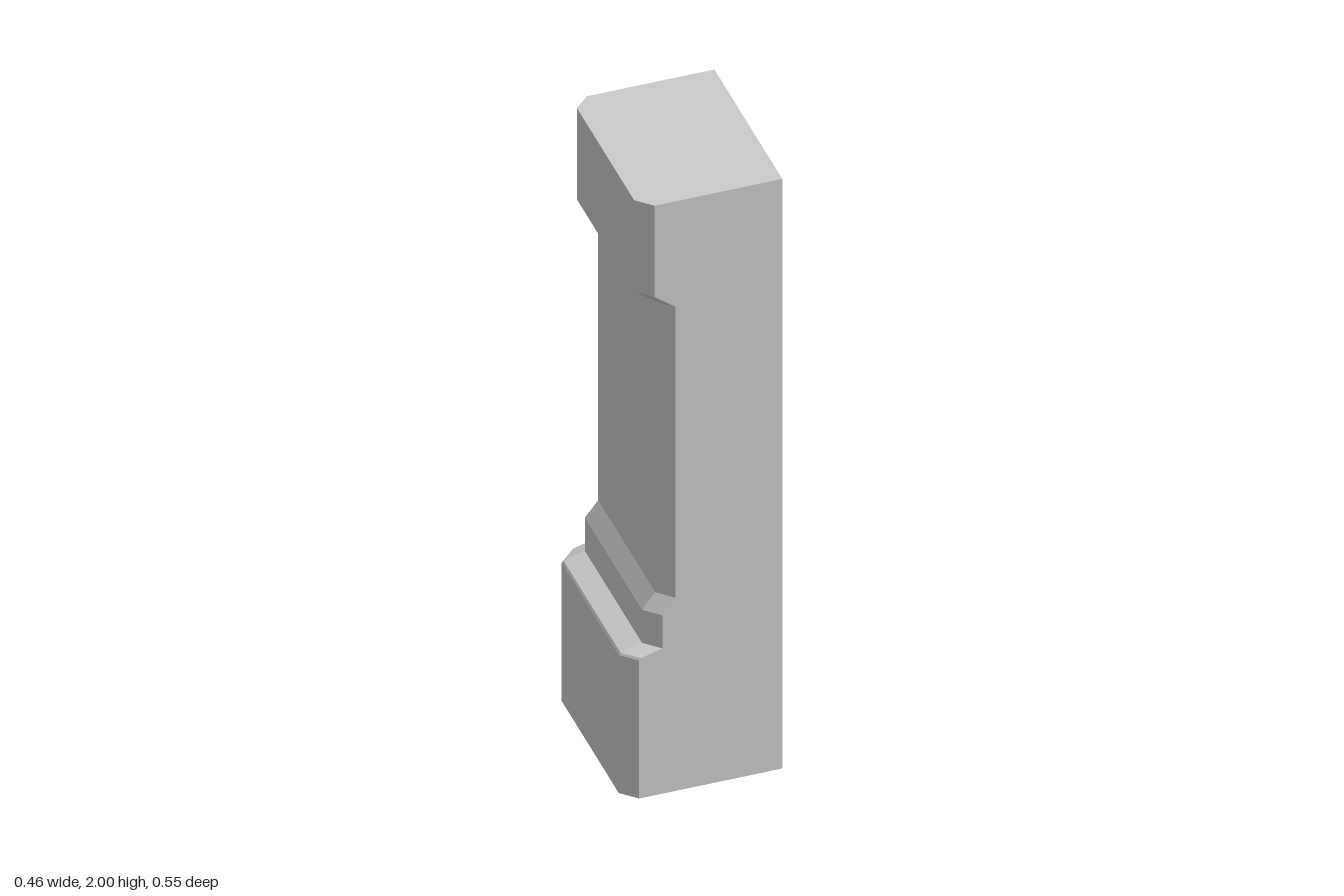
import * as THREE from 'three';

const RIGHT = 0.232, DEPTH = 0.276, CHAMFER = 0.044;

// Carved face from bottom to top: [x of the face, height]
const profile = [
  [-0.232, 0], [-0.232, 0.468], [-0.227, 0.475], [-0.164, 0.493], [-0.164, 0.605],
  [-0.125, 0.655], [-0.125, 1.642], [-0.187, 1.69], [-0.187, 2],
];

// Six-cornered cross-section, counter-clockwise seen from above
function section([x, y]) {
  const side = x + CHAMFER, inner = DEPTH - CHAMFER;
  return [
    [RIGHT, y, DEPTH], [RIGHT, y, -DEPTH], [side, y, -DEPTH],
    [x, y, -inner], [x, y, inner], [side, y, DEPTH],
  ];
}

function loft(rings) {
  const points = [];
  const tri = (a, b, c) => points.push(...a, ...b, ...c);
  const n = rings[0].length;
  // Walls
  for (let r = 0; r < rings.length - 1; r++) {
    const lo = rings[r], hi = rings[r + 1];
    for (let i = 0; i < n; i++) {
      const j = (i + 1) % n;
      tri(lo[i], lo[j], hi[j]);
      tri(lo[i], hi[j], hi[i]);
    }
  }
  // End caps
  const bottom = rings[0], top = rings[rings.length - 1];
  for (let i = 1; i < n - 1; i++) {
    tri(bottom[0], bottom[i + 1], bottom[i]);
    tri(top[0], top[i], top[i + 1]);
  }
  const geometry = new THREE.BufferGeometry();
  geometry.setAttribute('position', new THREE.Float32BufferAttribute(points, 3));
  geometry.computeVertexNormals();
  return geometry;
}

export function createModel() {
  const group = new THREE.Group();
  group.name = 'pilaster';
  const material = new THREE.MeshStandardMaterial({ color: 0xcccccc, flatShading: true });
  const shaft = new THREE.Mesh(loft(profile.map(section)), material);
  shaft.name = 'carvedPillar';
  group.add(shaft);
  return group;
}
